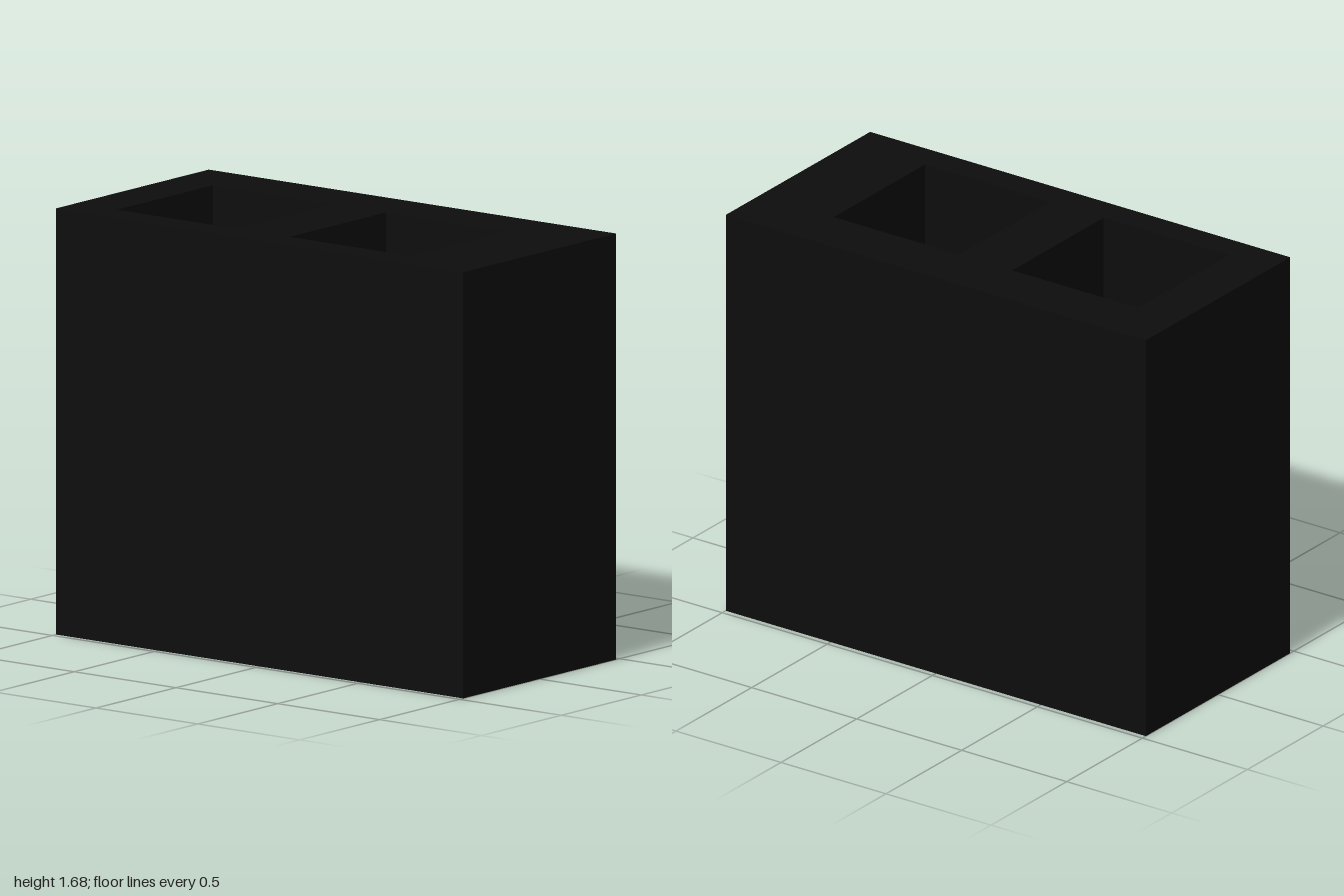
import * as THREE from 'three';

const W = 0.954, H = 1.68, L = 2, FLOOR = 0.12;

// Corners of a rectangle on the ground plan (shape y is -z)
function rect(x0, x1, z0, z1) {
  return [[x0, -z1], [x1, -z1], [x1, -z0], [x0, -z0]].map(([x, y]) => new THREE.Vector2(x, y));
}

export function createModel() {
  const model = new THREE.Group();
  model.name = 'hollowBlock';
  const black = new THREE.MeshStandardMaterial({ color: 0x0d0d0d });
  black.name = 'black';

  // Walls with two square wells, set slightly off centre
  const plan = new THREE.Shape(rect(-W / 2, W / 2, -L / 2, L / 2));
  for (const [z0, z1] of [[0.05, 0.65], [-0.8, -0.2]]) {
    plan.holes.push(new THREE.Path(rect(-0.355, 0.25, z0, z1).reverse()));
  }
  const wallGeometry = new THREE.ExtrudeGeometry(plan, { depth: H - FLOOR, bevelEnabled: false });
  wallGeometry.rotateX(-Math.PI / 2);
  const walls = new THREE.Mesh(wallGeometry, black);
  walls.name = 'walls';
  walls.position.y = FLOOR;
  model.add(walls);

  // Solid base that closes the wells
  const base = new THREE.Mesh(new THREE.BoxGeometry(W, FLOOR, L), black);
  base.name = 'base';
  base.position.y = FLOOR / 2;
  model.add(base);

  return model;
}
